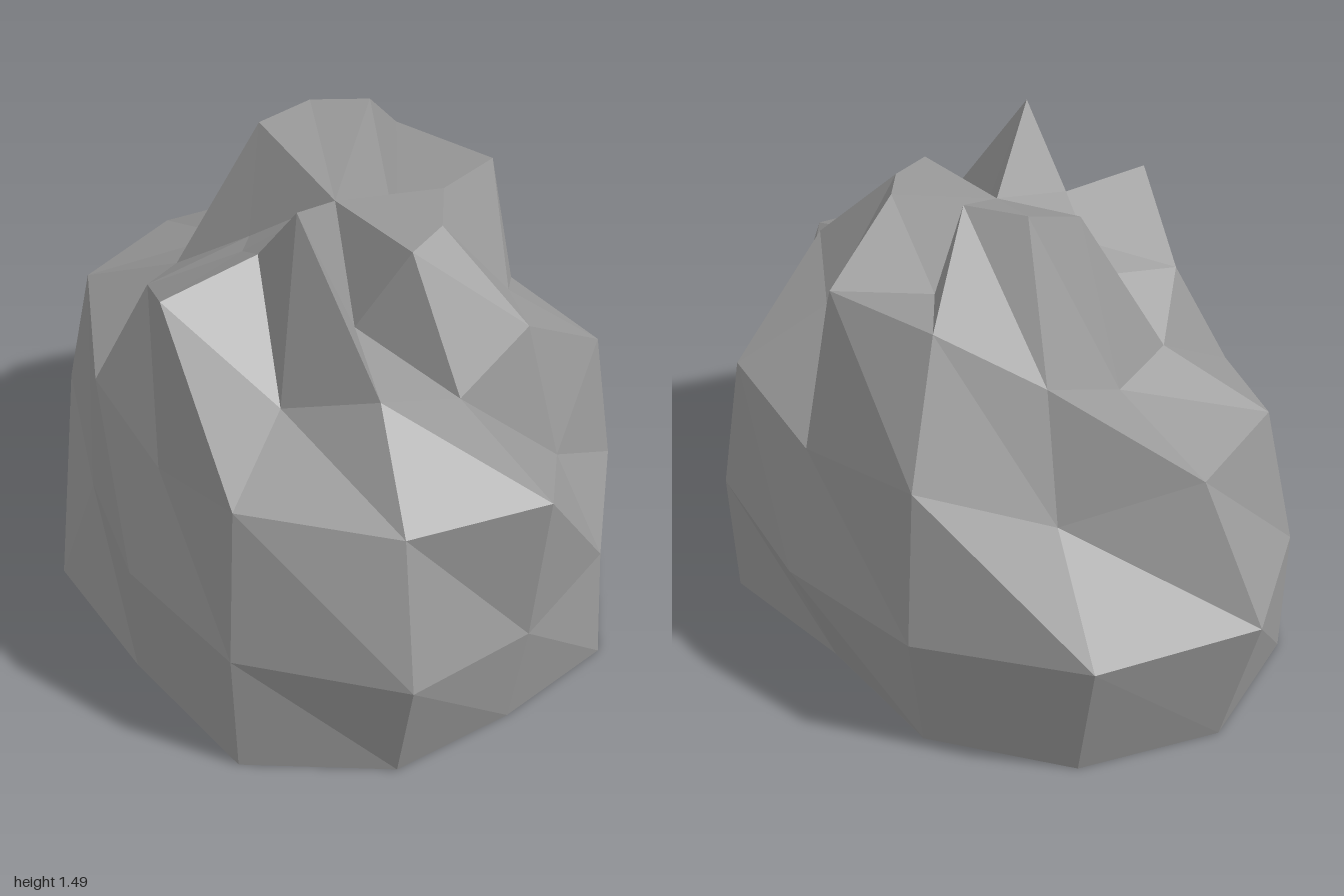
import * as THREE from 'three';

const SIDES = 12;
const SCALE = new THREE.Vector3(1, 1.33, 0.845); // stretch of the dome
const CENTRE = new THREE.Vector3(0.1, 0, 0.025);

// How far each dome point is pushed in or out, ring by ring from the ground up,
// starting at the left (+x) and turning towards the front (+z).
const RINGS = [
  [0.81, 0.89, 0.976, 0.864, 0.95, 0.962, 0.98, 0.95, 0.9, 0.76, 0.93, 0.91],
  [0.907, 1.08, 1.06, 0.91, 0.86, 1.015, 1.157, 1.14, 1.06, 0.97, 0.99, 0.925],
  [1.117, 1.1, 1.17, 0.896, 0.96, 1.066, 1.062, 0.86, 1.14, 1.01, 1.065, 0.885],
  [0.915, 0.995, 0.898, 1.155, 1.0, 0.905, 0.885, 0.97, 1.16, 1.165, 0.945, 1.02],
  [1.055, 0.862, 1.175, 0.998, 0.93, 0.9, 1.12, 1.15, 1.166, 0.875, 1.075, 1.06],
];

function domePoint(ring, side, push) {
  const lift = (ring / RINGS.length) * Math.PI / 2;
  const turn = (side / SIDES) * Math.PI * 2;
  return new THREE.Vector3(
    Math.cos(lift) * Math.cos(turn),
    Math.sin(lift),
    Math.cos(lift) * Math.sin(turn),
  ).multiplyScalar(push).multiply(SCALE).add(CENTRE);
}

function meshFromTriangles(name, corners, material) {
  const geometry = new THREE.BufferGeometry().setFromPoints(corners);
  geometry.computeVertexNormals();
  const mesh = new THREE.Mesh(geometry, material);
  mesh.name = name;
  return mesh;
}

export function createModel() {
  const stone = new THREE.MeshStandardMaterial({ color: 0x999999 });
  stone.name = 'grey stone';

  const rings = RINGS.map((ring, k) => ring.map((push, i) => domePoint(k, i, push)));
  const peak = domePoint(RINGS.length, 0, 1.0);
  const sides = [];
  const base = [];

  for (let i = 0; i < SIDES; i++) {
    const prev = (i + SIDES - 1) % SIDES;
    // Faceted sides, two triangles per panel
    for (let k = 0; k < rings.length - 1; k++) {
      const a = rings[k][i], b = rings[k][prev];
      const c = rings[k + 1][prev], d = rings[k + 1][i];
      sides.push(a, b, d, b, c, d);
    }
    // Crown around the middle point
    const top = rings[rings.length - 1];
    sides.push(top[i], top[prev], peak);
    // Flat underside
    base.push(rings[0][prev], rings[0][i], CENTRE);
  }

  const group = new THREE.Group();
  group.name = 'rock';
  group.add(
    meshFromTriangles('rockSurface', sides, stone),
    meshFromTriangles('rockBase', base, stone),
  );
  return group;
}
